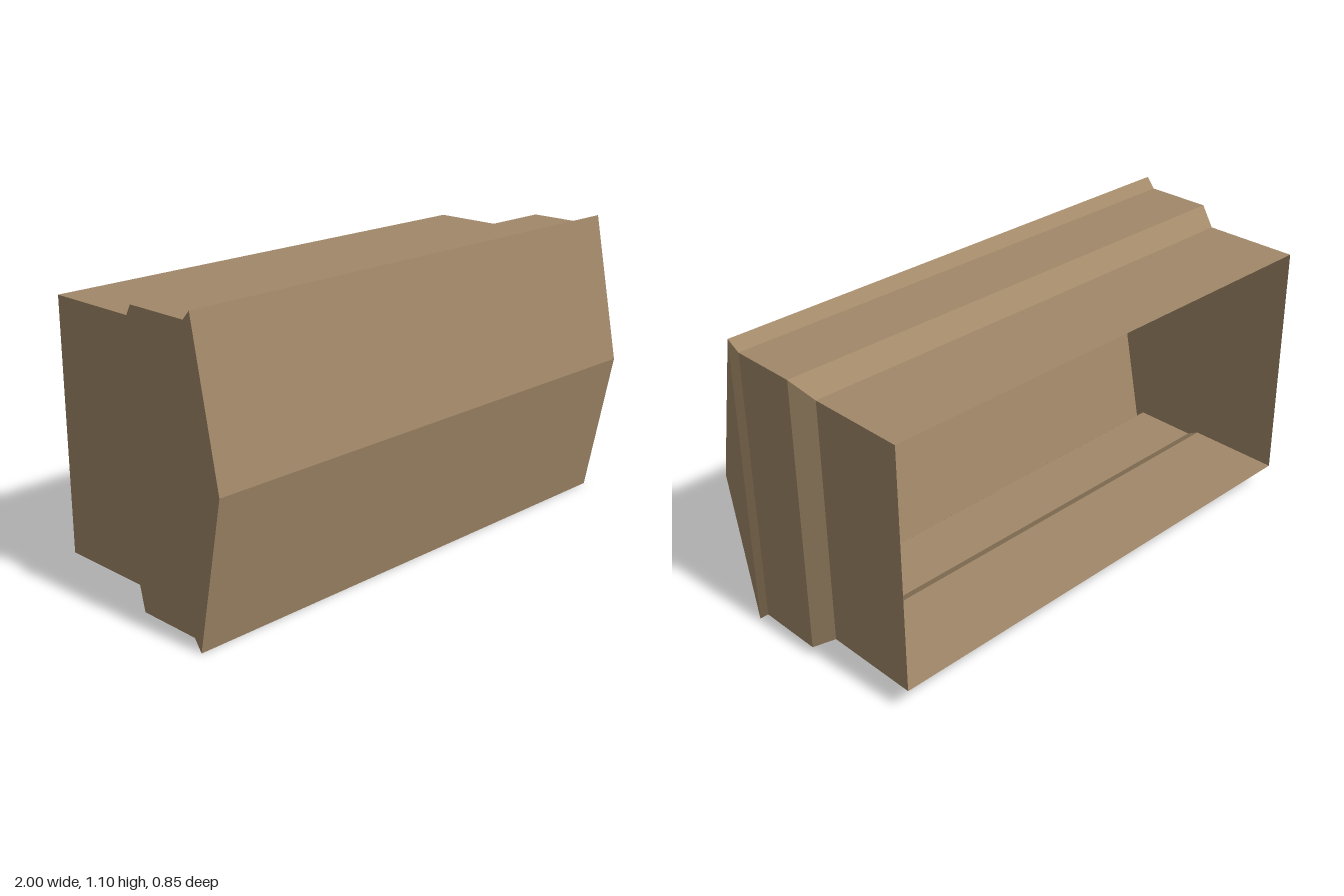
import * as THREE from 'three';

// Flat-shaded mesh from planar polygons (3 or 4 corners, counter-clockwise from outside)
function facetMesh(name, polygons, material) {
  const positions = [];
  for (const p of polygons) {
    for (let i = 1; i < p.length - 1; i++) positions.push(...p[0], ...p[i], ...p[i + 1]);
  }
  const geometry = new THREE.BufferGeometry();
  geometry.setAttribute('position', new THREE.Float32BufferAttribute(positions, 3));
  geometry.computeVertexNormals();
  const mesh = new THREE.Mesh(geometry, material);
  mesh.name = name;
  return mesh;
}

export function createModel() {
  const group = new THREE.Group();
  group.name = 'hollowCasing';
  const tan = new THREE.MeshStandardMaterial({ color: 0xa18868, side: THREE.DoubleSide });
  tan.name = 'tan';

  const midY = 0.549;
  // Rectangular section: half width, half height, depth
  const ring = ([w, h, z]) => [
    [-w, midY - h, z], [w, midY - h, z], [w, midY + h, z], [-w, midY + h, z],
  ];
  const sections = [
    ['frontLip', [1, 0.549, 0.313]],
    ['frontBand', [0.992, 0.513, 0.273]],
    ['stepTaper', [0.992, 0.513, 0.022]],
    ['rearSleeve', [0.95, 0.457, -0.057]],
    ['openRim', [0.95, 0.457, -0.423]],
  ];

  // Walls between successive sections; the back stays open
  for (let s = 0; s < sections.length - 1; s++) {
    const a = ring(sections[s][1]);
    const b = ring(sections[s + 1][1]);
    const walls = a.map((_, i) => {
      const j = (i + 1) % 4;
      return [a[i], b[i], b[j], a[j]];
    });
    group.add(facetMesh(sections[s][0], walls, tan));
  }

  // Front face folded along a horizontal ridge, with triangular ends
  const [bl, br, tr, tl] = ring(sections[0][1]);
  const ridgeL = [-1, midY, 0.423];
  const ridgeR = [1, midY, 0.423];
  group.add(facetMesh('ridgedFront', [
    [bl, br, ridgeR, ridgeL],
    [ridgeL, ridgeR, tr, tl],
    [br, tr, ridgeR],
    [bl, ridgeL, tl],
  ], tan));

  return group;
}
